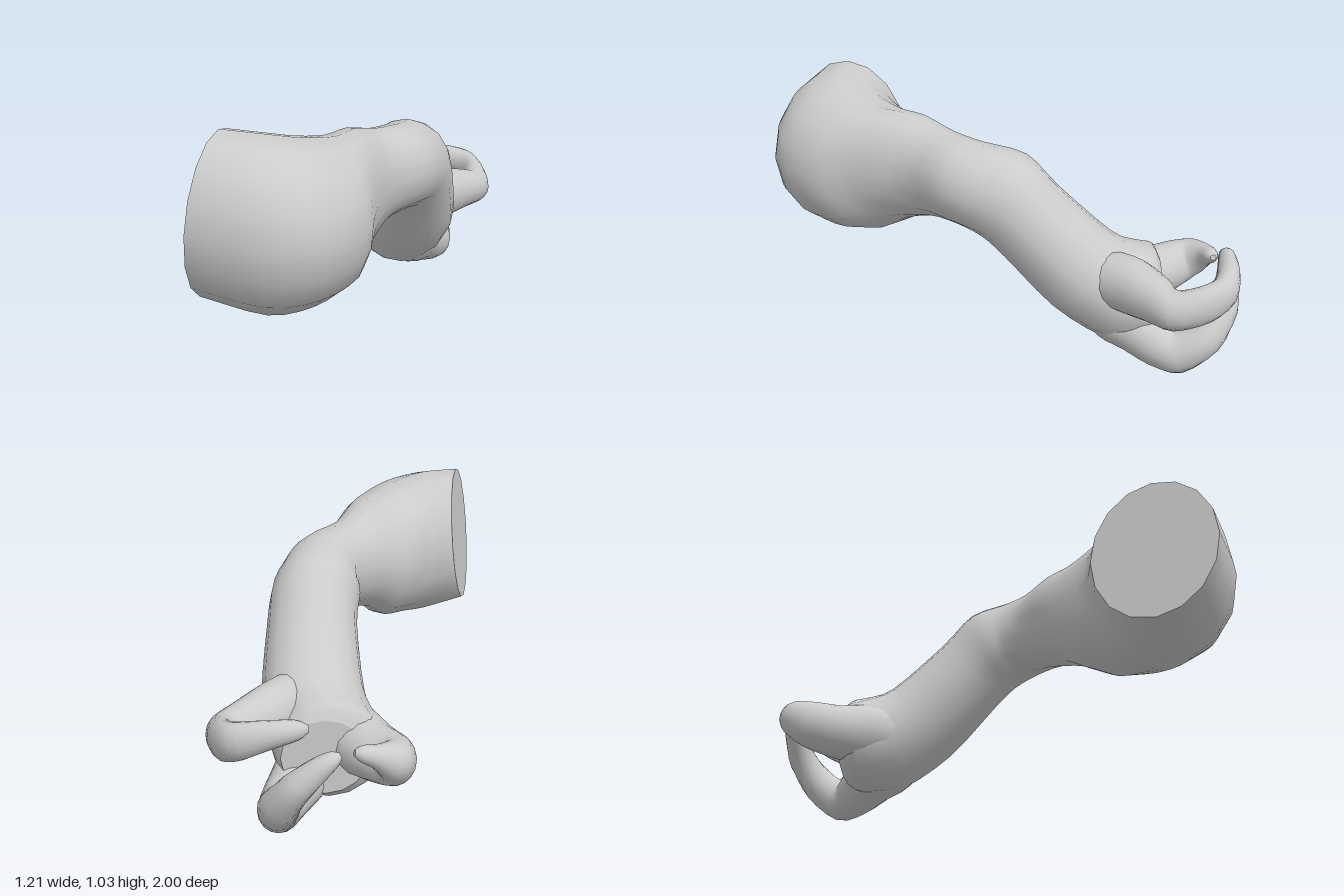
import * as THREE from 'three';

const SIDES = 16;
const STEPS = 3;
const UP = new THREE.Vector3(0, 1, 0);
const vec = (x, y, z) => new THREE.Vector3(x, y, z);

// Smooth closed loft through elliptical frames { centre, side, top }.
function loft(name, frames, material) {
  const curve = key => new THREE.CatmullRomCurve3(frames.map(f => f[key]), false, 'catmullrom', 0.45);
  const centres = curve('centre');
  const sides = curve('side');
  const tops = curve('top');
  const rings = (frames.length - 1) * STEPS;
  const positions = [];
  const index = [];

  const addRing = t => {
    const first = positions.length / 3;
    const centre = centres.getPoint(t);
    const side = sides.getPoint(t);
    const top = tops.getPoint(t);
    for (let j = 0; j < SIDES; j++) {
      const a = j / SIDES * Math.PI * 2;
      const p = centre.clone().addScaledVector(side, Math.cos(a)).addScaledVector(top, Math.sin(a));
      positions.push(p.x, p.y, p.z);
    }
    return first;
  };

  for (let i = 0; i <= rings; i++) addRing(i / rings);
  for (let i = 0; i < rings; i++) {
    for (let j = 0; j < SIDES; j++) {
      const a = i * SIDES + j;
      const b = i * SIDES + (j + 1) % SIDES;
      index.push(a, a + SIDES, b, b, a + SIDES, b + SIDES);
    }
  }
  // Flat caps with their own vertices, so the rims stay sharp
  for (const t of [0, 1]) {
    const first = addRing(t);
    const middle = positions.length / 3;
    positions.push(...centres.getPoint(t).toArray());
    for (let j = 0; j < SIDES; j++) {
      const a = first + j;
      const b = first + (j + 1) % SIDES;
      if (t) index.push(a, middle, b);
      else index.push(a, b, middle);
    }
  }

  const geometry = new THREE.BufferGeometry();
  geometry.setAttribute('position', new THREE.Float32BufferAttribute(positions, 3));
  geometry.setIndex(index);
  geometry.computeVertexNormals();
  const mesh = new THREE.Mesh(geometry, material);
  mesh.name = name;
  return mesh;
}

// Arm frame from its inner and outer edge (x, z), mid height, half height and forward lean.
function armFrame([xi, zi, xo, zo, y, half, lean]) {
  const side = vec((xo - xi) / 2, 0, (zo - zi) / 2);
  const top = vec(side.z, 0, -side.x).setLength(lean);
  top.y = half;
  return { centre: vec((xi + xo) / 2, y, (zi + zo) / 2), side, top };
}

// Finger frames square to the path through [x, y, z, halfWidth, halfHeight].
function fingerFrames(sections) {
  const path = new THREE.CatmullRomCurve3(sections.map(s => vec(s[0], s[1], s[2])));
  return sections.map(([x, y, z, w, h], i) => {
    const tangent = path.getTangent(i / (sections.length - 1));
    const side = tangent.clone().cross(UP).normalize();
    const top = side.clone().cross(tangent).multiplyScalar(h);
    return { centre: vec(x, y, z), side: side.multiplyScalar(w), top };
  });
}

export function createModel() {
  const group = new THREE.Group();
  group.name = 'bentArm';
  const skin = new THREE.MeshStandardMaterial({ color: 0xcccccc });

  // Cut shoulder, upper arm, elbow, forearm and palm
  group.add(loft('arm', [
    [-0.46, 0.44, -0.60, 0.93, 0.725, 0.31, 0.03],
    [-0.36, 0.41, -0.33, 0.995, 0.69, 0.33, 0],
    [-0.30, 0.34, -0.12, 0.945, 0.68, 0.31, 0],
    [-0.22, 0.25, 0.02, 0.77, 0.68, 0.28, 0],
    [-0.12, 0.165, 0.055, 0.59, 0.72, 0.235, 0],
    [-0.03, 0.08, 0.13, 0.36, 0.725, 0.19, 0],
    [0.00, 0.00, 0.28, 0.19, 0.725, 0.175, 0.02],
    [0.00, -0.07, 0.36, -0.03, 0.69, 0.17, 0.085],
    [0.02, -0.165, 0.385, -0.165, 0.587, 0.137, 0.115],
    [0.005, -0.375, 0.41, -0.375, 0.385, 0.147, 0.125],
    [-0.04, -0.53, 0.39, -0.53, 0.285, 0.20, 0.07],
    [-0.05, -0.64, 0.36, -0.64, 0.265, 0.20, 0.02],
    [0.01, -0.69, 0.34, -0.69, 0.26, 0.15, 0],
  ].map(armFrame), skin));

  // Three curled digits tapering out of the palm
  group.add(loft('thumb', fingerFrames([
    [0.15, 0.33, -0.36, 0.06, 0.06],
    [0.09, 0.29, -0.48, 0.11, 0.12],
    [0.045, 0.28, -0.60, 0.125, 0.125],
    [-0.015, 0.28, -0.70, 0.11, 0.11],
    [-0.07, 0.295, -0.79, 0.088, 0.098],
    [-0.06, 0.33, -0.86, 0.07, 0.075],
    [0.00, 0.365, -0.895, 0.042, 0.045],
    [0.055, 0.385, -0.91, 0.03, 0.03],
    [0.08, 0.39, -0.915, 0.012, 0.012],
  ]), skin));
  group.add(loft('upperFinger', fingerFrames([
    [0.24, 0.43, -0.34, 0.06, 0.06],
    [0.30, 0.40, -0.47, 0.10, 0.11],
    [0.37, 0.395, -0.57, 0.105, 0.115],
    [0.46, 0.39, -0.65, 0.09, 0.095],
    [0.535, 0.385, -0.72, 0.075, 0.08],
    [0.535, 0.415, -0.83, 0.05, 0.078],
    [0.485, 0.445, -0.905, 0.052, 0.07],
    [0.39, 0.475, -0.93, 0.045, 0.055],
    [0.28, 0.495, -0.935, 0.033, 0.037],
    [0.24, 0.495, -0.925, 0.014, 0.014],
  ]), skin));
  group.add(loft('lowerFinger', fingerFrames([
    [0.20, 0.28, -0.36, 0.06, 0.06],
    [0.21, 0.20, -0.50, 0.13, 0.12],
    [0.26, 0.15, -0.61, 0.115, 0.11],
    [0.32, 0.105, -0.70, 0.095, 0.095],
    [0.35, 0.095, -0.77, 0.08, 0.09],
    [0.345, 0.165, -0.87, 0.075, 0.075],
    [0.29, 0.27, -0.94, 0.06, 0.06],
    [0.21, 0.35, -0.955, 0.043, 0.045],
    [0.155, 0.39, -0.955, 0.03, 0.03],
    [0.13, 0.40, -0.95, 0.012, 0.012],
  ]), skin));

  return group;
}
